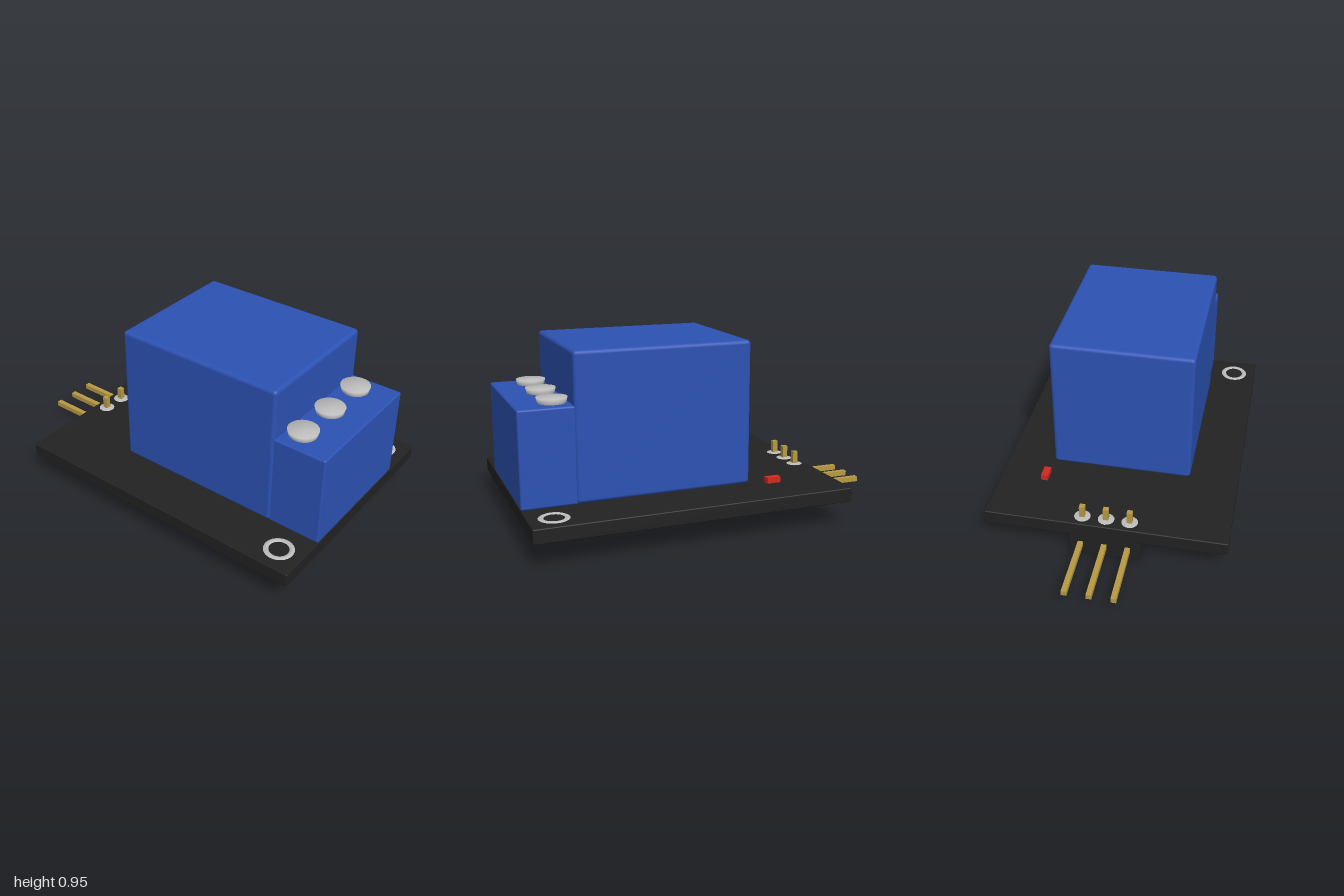
import * as THREE from 'three';
import { RoundedBoxGeometry } from 'three/addons/geometries/RoundedBoxGeometry.js';

const material = (name, color) => {
  const m = new THREE.MeshStandardMaterial({ color });
  m.name = name;
  return m;
};

export function createModel() {
  const blue = material('blue plastic', 0x2c52b4);
  const black = material('black board', 0x222222);
  const gold = material('gold pin', 0xb89a44);
  const silver = material('silver metal', 0xbcbcbc);
  const red = material('red light', 0xd02a20);

  const model = new THREE.Group();
  model.name = 'relayModule';

  const add = (name, geometry, mat, x = 0, y = 0, z = 0) => {
    const mesh = new THREE.Mesh(geometry, mat);
    mesh.name = name;
    mesh.position.set(x, y, z);
    model.add(mesh);
    return mesh;
  };

  // Box given by its limits on each axis, with optional rounded edges
  const block = (name, mat, [x0, x1], [y0, y1], [z0, z1], radius = 0) => {
    const size = [x1 - x0, y1 - y0, z1 - z0];
    const geometry = radius
      ? new RoundedBoxGeometry(...size, 3, radius)
      : new THREE.BoxGeometry(...size);
    return add(name, geometry, mat, (x0 + x1) / 2, (y0 + y1) / 2, (z0 + z1) / 2);
  };

  const lathe = (points, segments = 32) =>
    new THREE.LatheGeometry(points.map(([r, y]) => new THREE.Vector2(r, y)), segments);

  // Main bodies
  block('circuitBoard', black, [-0.655, 1], [0.125, 0.2], [-0.632, 0.632], 0.006);
  block('relayCase', blue, [-0.193, 0.727], [0.203, 0.955], [-0.377, 0.373], 0.02);
  block('terminalBlock', blue, [0.715, 1], [0.2, 0.69], [-0.367, 0.363], 0.01);
  block('pinHeader', black, [-0.65, -0.53], [0, 0.127], [-0.185, 0.185], 0.004);
  block('indicatorLight', red, [-0.357, -0.28], [0.198, 0.23], [-0.411, -0.374]);

  // Terminal screws
  const screw = lathe([[0.06, -0.03], [0.07, 0], [0.077, 0.028], [0, 0.03]]);
  for (const z of [-0.245, 0, 0.242]) add('terminalScrew', screw, silver, 0.805, 0.69, z);

  // Metal rims of the mounting holes
  const rim = lathe([[0.076, 0], [0.066, 0.005], [0.058, 0.005], [0.05, 0]]);
  for (const z of [-0.51, 0.505]) add('mountingHoleRim', rim, silver, 0.873, 0.2, z);

  // Bent header pins with their solder joints
  const solder = lathe([[0.043, 0], [0.03, 0.004], [0, 0.006]], 16);
  for (const z of [-0.126, -0.002, 0.121]) {
    const depth = [z - 0.014, z + 0.014];
    block('pinPost', gold, [-0.604, -0.576], [0.05, 0.27], depth);
    block('pinArm', gold, [-1, -0.6], [0.05, 0.078], depth);
    add('solderJoint', solder, silver, -0.59, 0.2, z);
  }

  return model;
}
